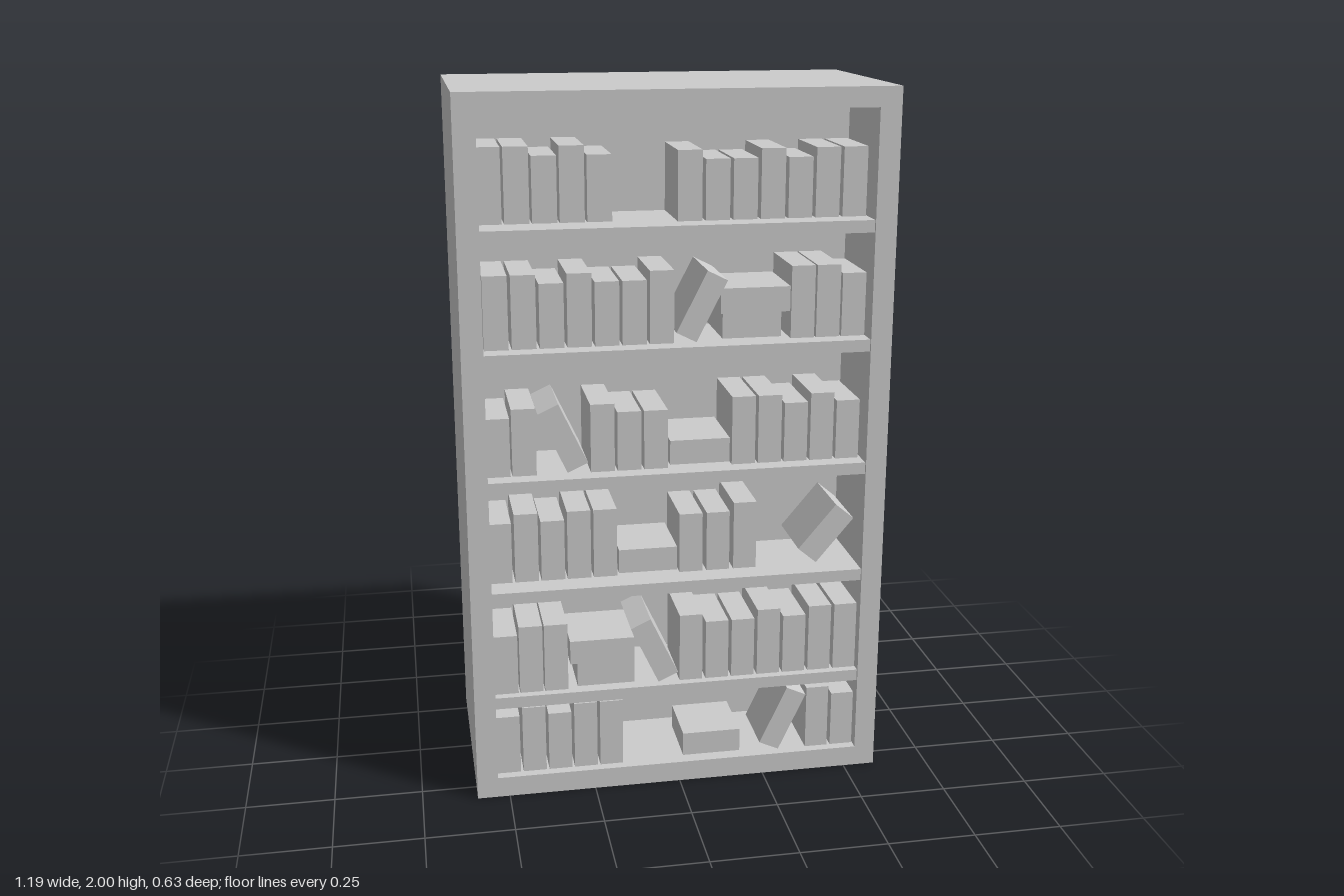
import * as THREE from 'three';

const mat = new THREE.MeshStandardMaterial({ color: 0xcccccc, flatShading: true });

// Box given by its centre and size
function box(name, x, y, z, w, h, d) {
  const mesh = new THREE.Mesh(new THREE.BoxGeometry(w, h, d), mat);
  mesh.position.set(x, y, z);
  mesh.name = name;
  return mesh;
}

// One shelf's books, with helpers for standing, lying and leaning ones
function bookRow(side, base, z, depth) {
  const row = new THREE.Group();
  row.name = 'bookRow';
  side.add(row);
  return {
    // Evenly spaced run of upright books: t is a tall one, s a short one
    run(from, to, pattern, lift = 0) {
      [...pattern].forEach((kind, i) => {
        const h = kind === 't' ? 0.203 : 0.178;
        const x = THREE.MathUtils.lerp(from, to, i / (pattern.length - 1));
        row.add(box('uprightBook', x, base + lift + h / 2, z, 0.067, h, depth));
      });
      return this;
    },
    lying(x, width, level = 0) {
      row.add(box('lyingBook', x, base + 0.042 + level * 0.07, z, width, 0.07, depth));
      return this;
    },
    leaning(x, degrees, width = 0.063, height = 0.19) {
      const angle = THREE.MathUtils.degToRad(degrees);
      const halfRise = (height * Math.cos(angle) + width * Math.abs(Math.sin(angle))) / 2;
      const book = box('leaningBook', x, base + halfRise, z, width, height, depth);
      book.rotation.z = angle;
      row.add(book);
      return this;
    },
  };
}

// Shelves and books of one face of the double-sided bookcase
function createSide() {
  const side = new THREE.Group();
  for (const top of [0.31, 0.63, 0.955, 1.313, 1.645]) {
    side.add(box('shelf', 0, top - 0.017, 0.175, 1.066, 0.034, 0.27));
  }
  bookRow(side, 0.06, 0.2, 0.18)
    .run(-0.498, -0.198, 'ststt').run(0.42, 0.497, 'ts', -0.01)
    .lying(0.1, 0.17).leaning(0.315, -25);
  bookRow(side, 0.312, 0.19, 0.2)
    .run(-0.498, -0.355, 'stt').run(0.037, 0.497, 'tsststt')
    .lying(-0.212, 0.165).lying(-0.222, 0.185, 1).leaning(-0.07, 25);
  bookRow(side, 0.632, 0.14, 0.2)
    .run(-0.502, -0.203, 'ststt').run(0.045, 0.203, 'sst', -0.004)
    .lying(-0.08, 0.168).leaning(0.445, -40, 0.07, 0.17);
  bookRow(side, 0.957, 0.155, 0.21)
    .run(-0.5, -0.428, 'st', -0.013).run(-0.21, -0.06, 'tss', -0.01)
    .run(0.19, 0.492, 'ttsts', -0.008)
    .lying(0.065, 0.17).leaning(-0.32, 25);
  bookRow(side, 1.314, 0.155, 0.21)
    .run(-0.495, -0.043, 'ttstsst').run(0.352, 0.497, 'tts')
    .lying(0.208, 0.165).lying(0.218, 0.195, 1).leaning(0.068, -27);
  bookRow(side, 1.65, 0.14, 0.2)
    .run(-0.502, -0.208, 'ttsts').run(0.037, 0.495, 'tsststt', -0.018);
  return side;
}

export function createModel() {
  const model = new THREE.Group();
  model.name = 'bookcase';

  // Outer frame, open on both faces
  const frame = new THREE.Shape();
  frame.moveTo(-0.593, 0).lineTo(0.593, 0).lineTo(0.593, 2).lineTo(-0.593, 2).closePath();
  const opening = new THREE.Path();
  opening.moveTo(-0.533, 0.06).lineTo(-0.533, 1.945).lineTo(0.533, 1.945).lineTo(0.533, 0.06).closePath();
  frame.holes.push(opening);
  const geo = new THREE.ExtrudeGeometry(frame, { depth: 0.634, bevelEnabled: false });
  geo.translate(0, 0, -0.317);
  const caseFrame = new THREE.Mesh(geo, mat);
  caseFrame.name = 'caseFrame';
  model.add(caseFrame);

  // Panel between the two faces
  model.add(box('backPanel', 0, 1.0025, 0, 1.066, 1.885, 0.08));

  // Same contents on both faces, turned half a circle
  ['frontSide', 'rearSide'].forEach((name, i) => {
    const side = createSide();
    side.name = name;
    side.rotation.y = i * Math.PI;
    model.add(side);
  });
  return model;
}
